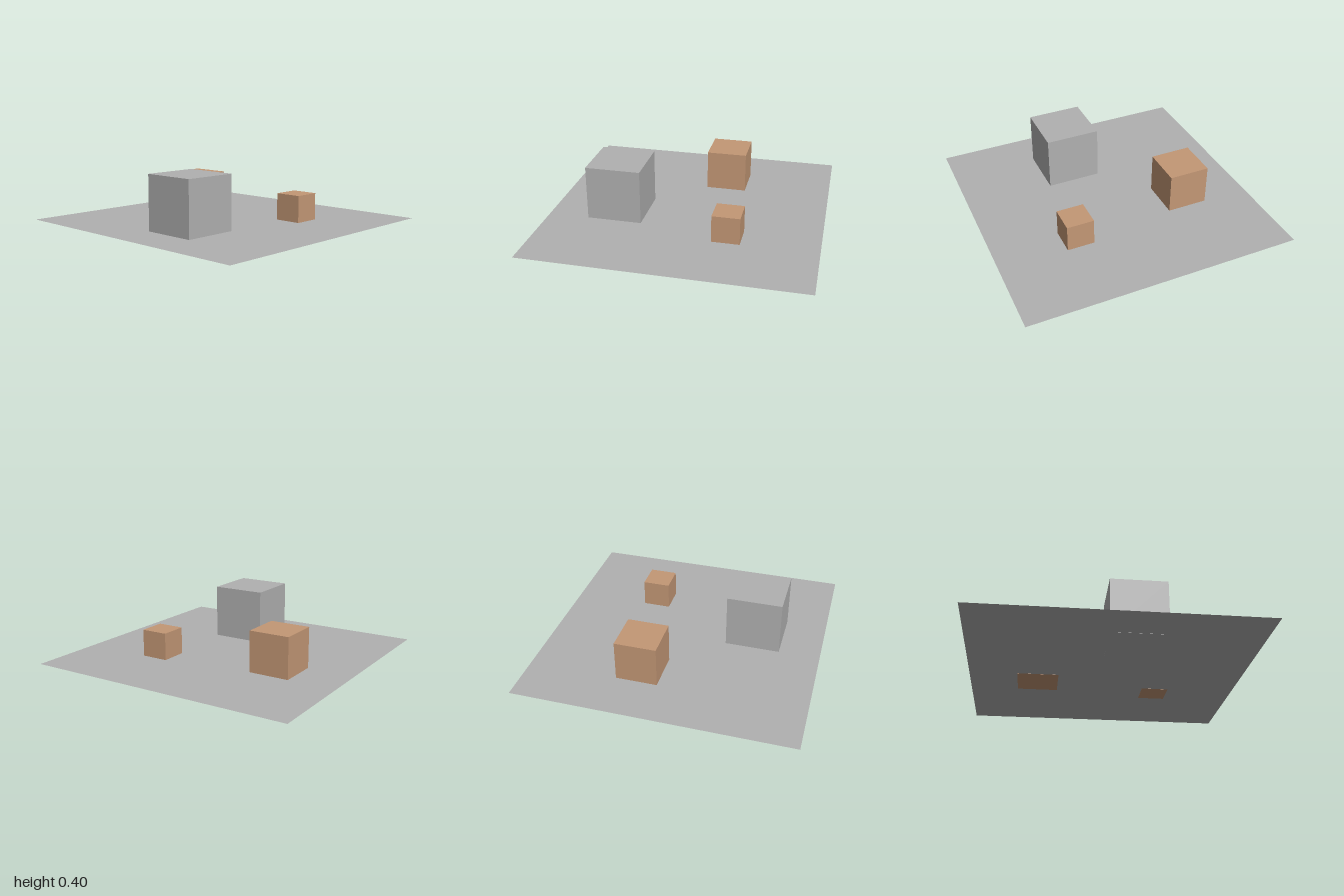
import * as THREE from 'three';

export function createModel() {
  const model = new THREE.Group();

  const grey = new THREE.MeshStandardMaterial({ color: 0xb0b0b0 });
  grey.name = 'grey';
  grey.side = THREE.DoubleSide; // the ground is a single open sheet
  const tan = new THREE.MeshStandardMaterial({ color: 0xc39775 });
  tan.name = 'tan';

  // Ground sheet, a hair above the undersides of the cubes
  const ground = new THREE.Mesh(new THREE.PlaneGeometry(2, 2).rotateX(-Math.PI / 2), grey);
  ground.name = 'ground';
  ground.position.y = 0.001;
  model.add(ground);

  // Cubes standing on the ground
  const addCube = (name, size, x, z, material) => {
    const cube = new THREE.Mesh(new THREE.BoxGeometry(size, size, size), material);
    cube.name = name;
    cube.position.set(x, size / 2, z);
    model.add(cube);
  };
  addCube('largeCube', 0.4, 0.15, 0.5, grey);
  addCube('mediumCube', 0.3, -0.5, -0.2, tan);
  addCube('smallCube', 0.2, 0.4, -0.35, tan);

  return model;
}
